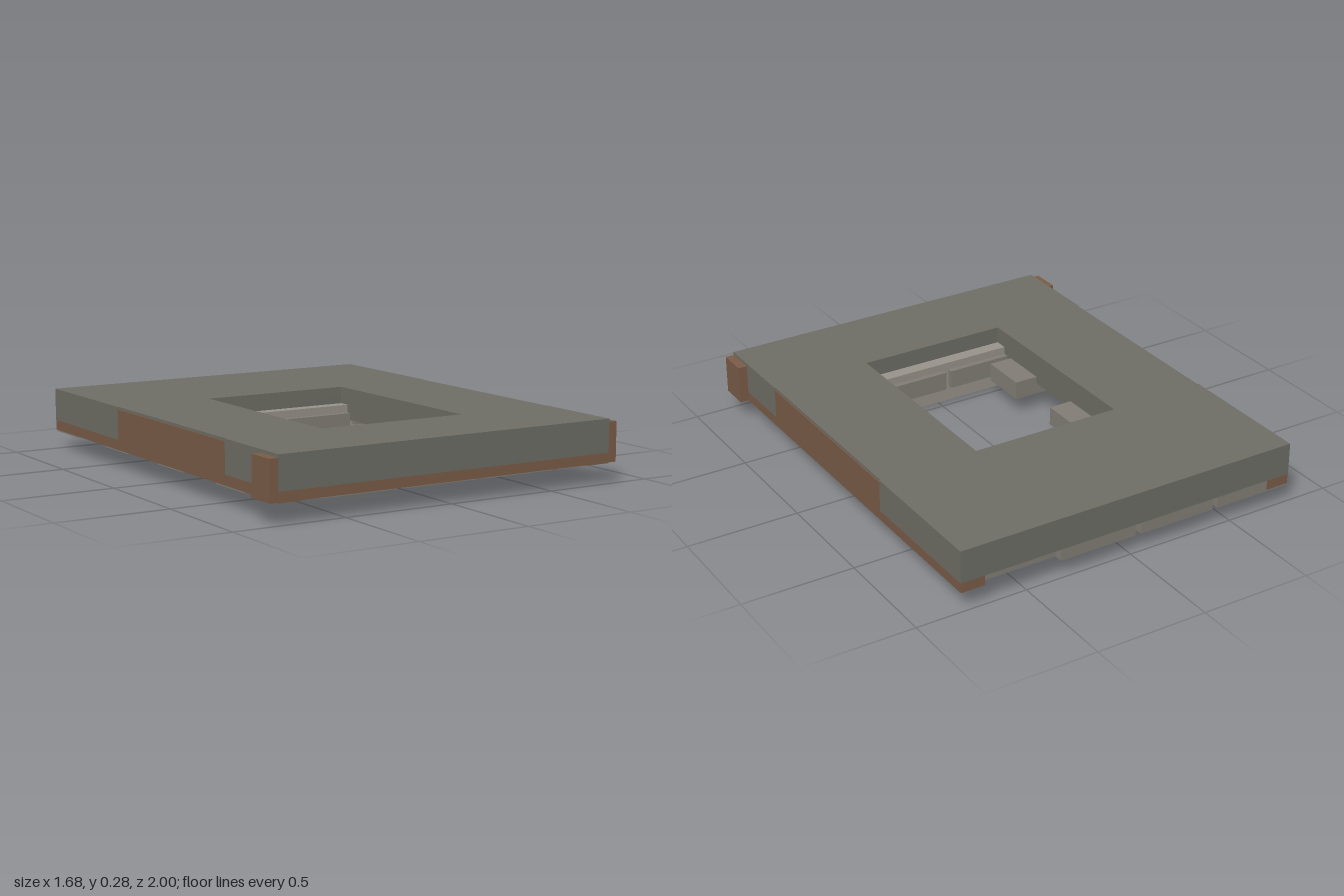
import * as THREE from 'three';

const mat = (color) => new THREE.MeshStandardMaterial({ color, flatShading: true });

export function createModel() {
  const model = new THREE.Group();
  model.name = 'wallPanel';
  const plaster = mat(0x6e6e66), brick = mat(0x827e76), stone = mat(0x98938a), timber = mat(0x7a5c48);

  // Box given by its min and max corners
  const box = (name, material, [x0, x1], [y0, y1], [z0, z1], parent = model) => {
    const mesh = new THREE.Mesh(new THREE.BoxGeometry(x1 - x0, y1 - y0, z1 - z0), material);
    mesh.position.set((x0 + x1) / 2, (y0 + y1) / 2, (z0 + z1) / 2);
    mesh.name = name;
    parent.add(mesh);
  };

  // Wall slab around the window opening; the side pieces are slightly inset
  const hole = { x: [-0.35, 0.342], z: [-0.362, 0.585] };
  const slabY = [0.132, 0.276];
  box('wallTop', plaster, [-0.8, 0.8], slabY, [-1, hole.z[0]]);
  box('wallBottom', plaster, [-0.8, 0.8], slabY, [hole.z[1], 1]);
  box('wallRight', plaster, [-0.795, hole.x[0]], slabY, hole.z);
  box('wallLeft', plaster, [hole.x[1], 0.795], slabY, hole.z);

  // Timber posts along both sides and a beam across the front end
  box('rightPost', timber, [-0.799, -0.69], [0.087, 0.265], [-0.999, 0.998]);
  box('leftPost', timber, [0.69, 0.799], [0.087, 0.265], [-0.999, 0.998]);
  box('baseBeam', timber, [-0.84, 0.84], [0.09, 0.262], [0.865, 0.999]);

  // Stone bars at the top and bottom of the opening
  box('lintel', stone, [-0.43, 0.43], [0, 0.2], [-0.41, -0.307]);
  box('sill', stone, [-0.43, 0.43], [0.01, 0.2], [0.525, 0.64]);

  // Staggered brick courses on the underside, left out at the opening
  const bricks = new THREE.Group();
  bricks.name = 'bricks';
  model.add(bricks);
  const length = 0.36, pitch = 0.386;
  for (let row = 0; row < 8; row++) {
    const z0 = -0.999 + row * 0.25, z1 = z0 + 0.221;
    const besideHole = row >= 3 && row <= 5;
    for (let i = 0; i < 4; i++) {
      const x0 = -0.794 + i * pitch + (row % 2) * pitch / 2;
      const x1 = Math.min(x0 + length, 0.775);
      const centre = x0 + length / 2;
      if (besideHole && centre > -0.36 && centre < 0.38) continue;
      const bottom = i === 3 && row % 2 === 0 ? 0.11 : 0.08;
      box('brick', brick, [x0, x1], [bottom, 0.165], [z0, z1], bricks);
    }
  }
  return model;
}
